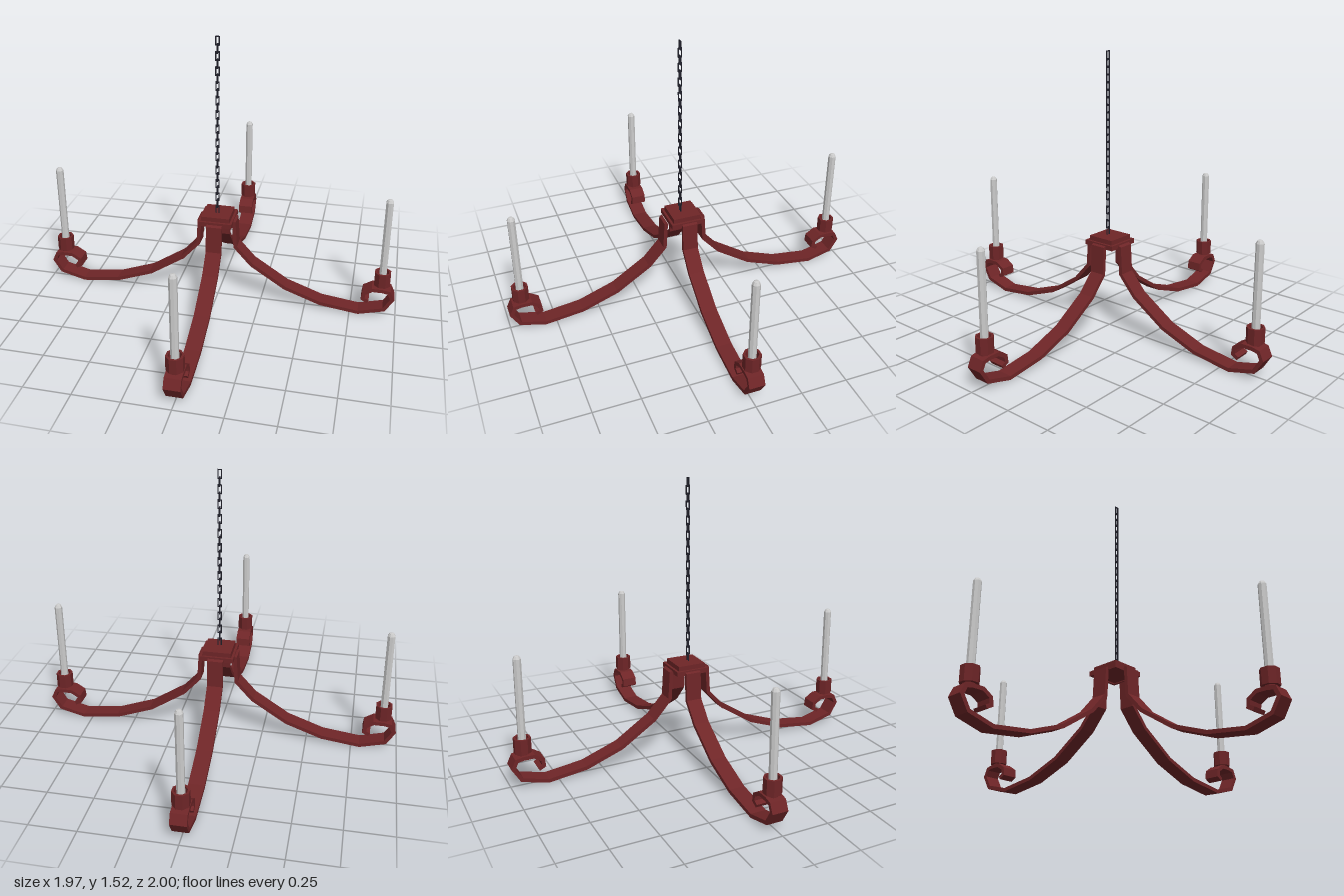
import * as THREE from 'three';

const RED = new THREE.MeshStandardMaterial({ color: 0x6e2527, flatShading: true, side: THREE.DoubleSide });
const WAX = new THREE.MeshStandardMaterial({ color: 0xcccccc, flatShading: true });
const IRON = new THREE.MeshStandardMaterial({ color: 0x20202a, flatShading: true });

function add(parent, name, geometry, material, x = 0, y = 0, z = 0) {
  const mesh = new THREE.Mesh(geometry, material);
  mesh.name = name;
  mesh.position.set(x, y, z);
  parent.add(mesh);
  return mesh;
}

// Extruded outline, centred on its depth
function extrude(shape, depth) {
  return new THREE.ExtrudeGeometry(shape, { depth, bevelEnabled: false }).translate(0, 0, -depth / 2);
}

// Rectangular ring with a rectangular opening
function frame(w, h, wall, depth) {
  const rect = (a, b) => [[-a, -b], [a, -b], [a, b], [-a, b]].map(p => new THREE.Vector2(...p));
  const shape = new THREE.Shape(rect(w / 2, h / 2));
  shape.holes.push(new THREE.Path(rect(w / 2 - wall, h / 2 - wall).reverse()));
  return extrude(shape, depth);
}

// Flat bar that follows a polyline with mitred corners
function bar(points, thickness, width) {
  const pts = points.map(p => new THREE.Vector2(...p));
  const one = [], two = [];
  pts.forEach((p, i) => {
    const before = p.clone().sub(pts[Math.max(i - 1, 0)]).normalize();
    const after = pts[Math.min(i + 1, pts.length - 1)].clone().sub(p).normalize();
    const t = before.clone().add(after).normalize();
    const ref = i ? before : after;
    const n = new THREE.Vector2(-t.y, t.x).multiplyScalar(thickness / 2 / t.dot(ref));
    one.push(p.clone().add(n));
    two.push(p.clone().sub(n));
  });
  return extrude(new THREE.Shape([...one, ...two.reverse()]), width);
}

// Octagonal turned part with its flats square to the axes
function octagon(profile) {
  const pts = profile.map(p => new THREE.Vector2(...p));
  return new THREE.LatheGeometry(pts, 8, Math.PI / 8);
}

export function createModel() {
  const model = new THREE.Group();
  model.name = 'chandelier';

  // Ceiling-side cap: plate inside a slim square collar
  add(model, 'capPlate', new THREE.BoxGeometry(0.154, 0.045, 0.154), RED, 0, 0.513, -0.003);
  add(model, 'capCollar', frame(0.186, 0.186, 0.013, 0.026).rotateX(Math.PI / 2), RED, 0, 0.499, -0.003);

  // Shared arm, cup and candle shapes
  const armGeo = bar([
    [0.086, 0.497], [0.096, 0.492], [0.105, 0.345], [0.197, 0.242], [0.388, 0.117],
    [0.588, 0.044], [0.797, 0.017], [0.935, 0.054], [0.976, 0.122], [0.957, 0.163],
    [0.92, 0.17], [0.865, 0.17], [0.822, 0.143], [0.818, 0.109], [0.846, 0.094],
  ], 0.02, 0.085);
  const cupGeo = octagon([
    [0, 0.165], [0.03, 0.165], [0.03, 0.19], [0.046, 0.19],
    [0.046, 0.27], [0.034, 0.27], [0.034, 0.215], [0, 0.215],
  ]);
  const candleGeo = octagon([[0, 0.2], [0.021, 0.2], [0.021, 0.692], [0.013, 0.706], [0, 0.709]]);

  // Four arms, a quarter turn apart
  ['left', 'back', 'right', 'front'].forEach((side, i) => {
    const turn = new THREE.Group();
    turn.name = side + 'Arm';
    turn.rotation.y = i * Math.PI / 2;
    if (i % 2) turn.position.set(0.002, 0, i === 1 ? -0.012 : 0.012);
    else turn.position.z = -0.008;
    add(turn, 'scrollArm', armGeo, RED);
    add(turn, 'candleCup', cupGeo, RED, 0.914);
    add(turn, 'candle', candleGeo, WAX, 0.914);
    model.add(turn);
  });

  // Hanging chain of alternating links
  const chain = new THREE.Group();
  chain.name = 'chain';
  chain.position.z = 0.01;
  const linkGeo = frame(0.022, 0.05, 0.005, 0.006);
  const links = 25;
  for (let i = 0; i < links; i++) {
    const link = add(chain, 'chainLink', linkGeo, IRON, 0, 0.555 + i * 0.0394, 0);
    link.rotation.y = (i % 2) * Math.PI / 2;
  }
  model.add(chain);

  return model;
}
